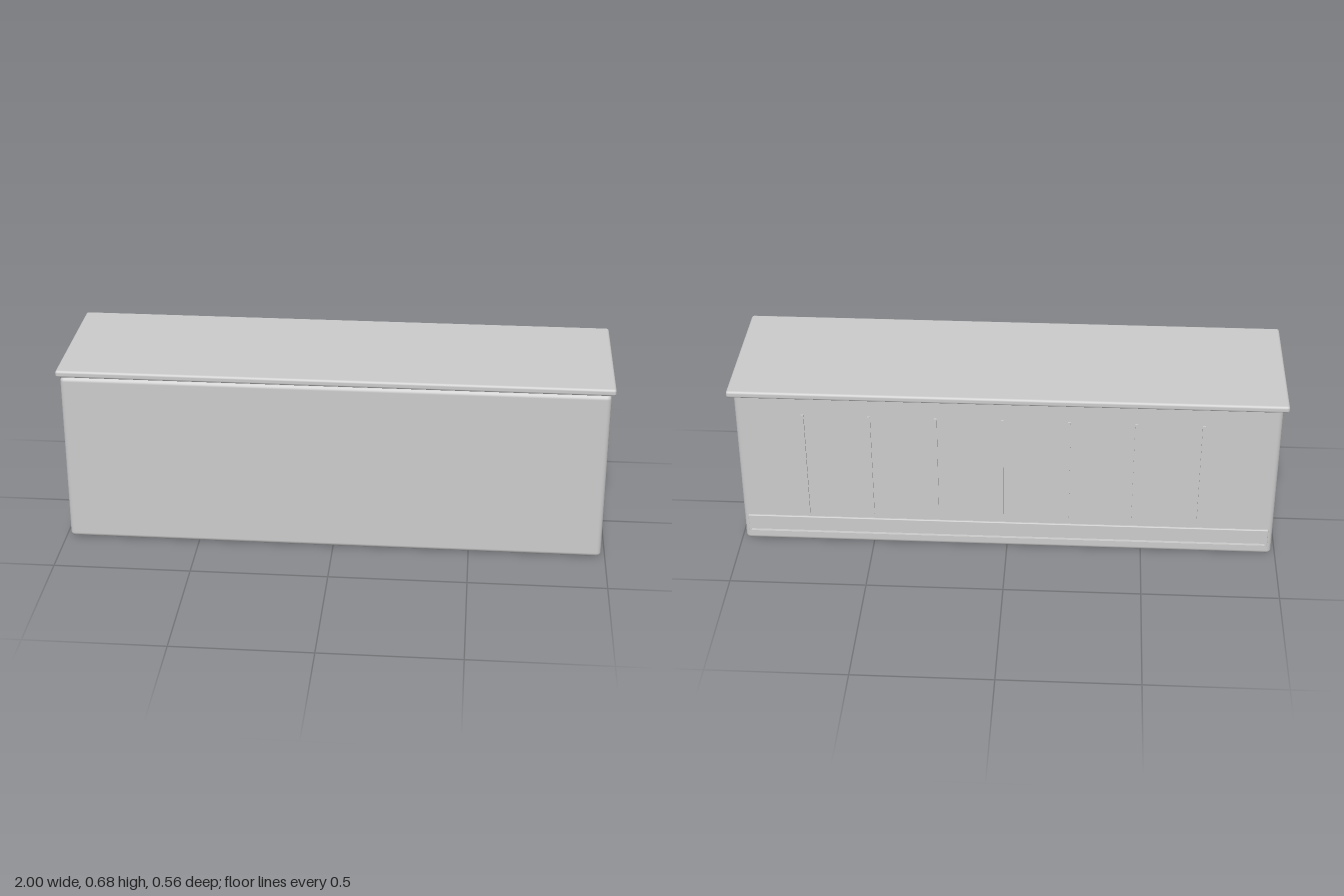
import * as THREE from 'three';
import { RoundedBoxGeometry } from 'three/addons/geometries/RoundedBoxGeometry.js';

export function createModel() {
  const group = new THREE.Group();
  group.name = 'counter';
  const grey = new THREE.MeshStandardMaterial({ name: 'light grey', color: 0xcccccc });

  // Box given by its [min, max] along each axis, with optional rounded edges
  function block(name, [x0, x1], [y0, y1], [z0, z1], radius = 0) {
    const size = [x1 - x0, y1 - y0, z1 - z0];
    const geometry = radius
      ? new RoundedBoxGeometry(...size, 2, radius)
      : new THREE.BoxGeometry(...size);
    const mesh = new THREE.Mesh(geometry, grey);
    mesh.name = name;
    mesh.position.set((x0 + x1) / 2, (y0 + y1) / 2, (z0 + z1) / 2);
    group.add(mesh);
  }

  // Cabinet and overhanging top
  block('cabinetBody', [-0.985, 0.985], [0, 0.65], [-0.234, 0.281], 0.016);
  block('counterTop', [-1, 1], [0.65, 0.676], [-0.282, 0.282], 0.009);

  // Vertical strips dividing the back
  for (let i = -3; i <= 3; i++) {
    const x = 0.016 + i * 0.241;
    block('dividerStrip', [x - 0.005, x + 0.005], [0.133, 0.56], [-0.241, -0.23]);
  }

  // Kick panel and the thin rail standing just off it
  block('kickPanel', [-0.969, 0.969], [0.038, 0.112], [-0.241, -0.228], 0.003);
  block('footRail', [-0.958, 0.958], [0.042, 0.054], [-0.256, -0.244]);

  return group;
}
